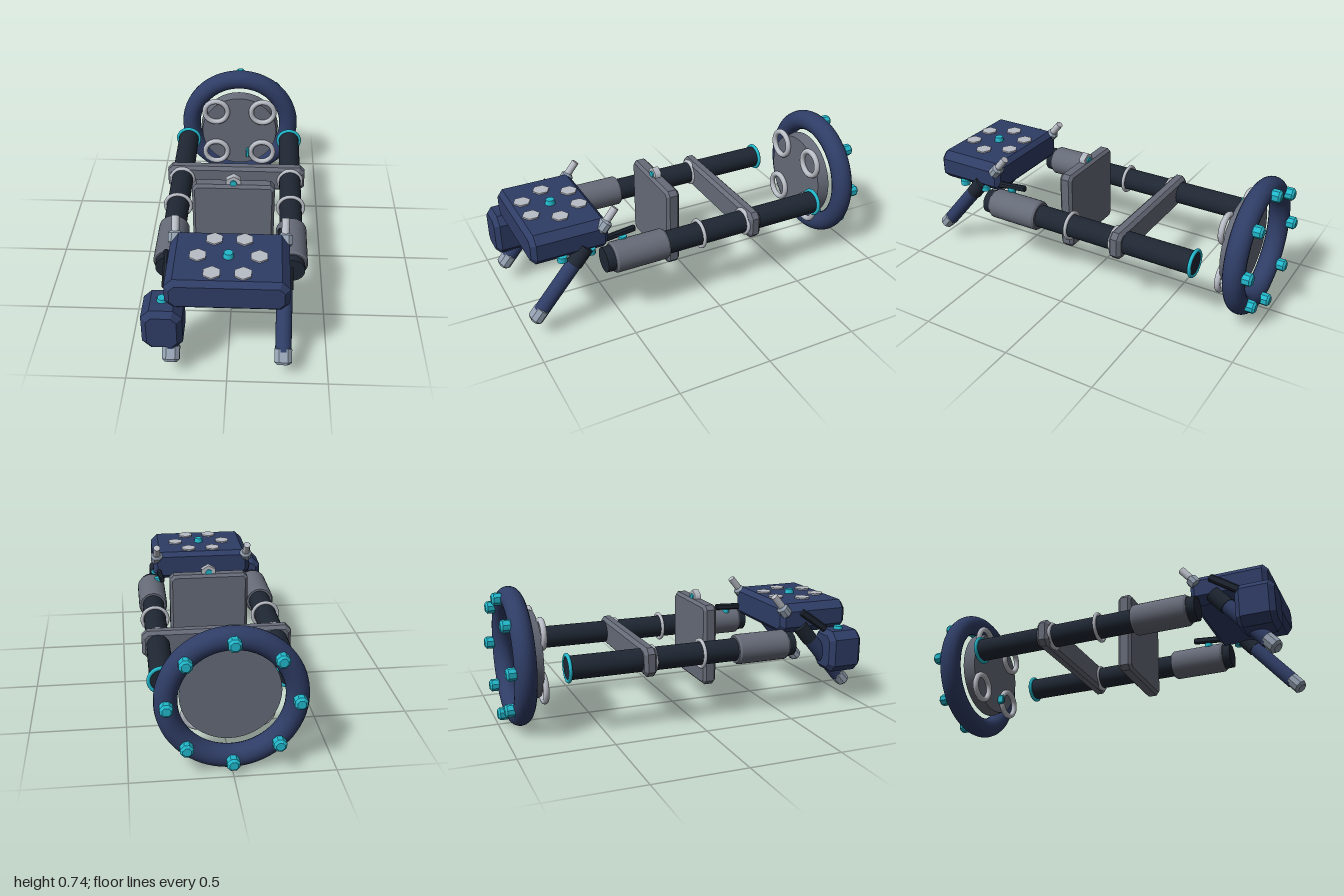
import * as THREE from 'three';

const paint = (color) => new THREE.MeshStandardMaterial({ color });

export function createModel() {
  const model = new THREE.Group();
  const navy = paint(0x2f3d66), dark = paint(0x1f2733), grey = paint(0x666b78);
  const pale = paint(0xb9bdc6), steel = paint(0x93a0b0), teal = paint(0x22b8cc);

  function add(name, geometry, material, x = 0, y = 0, z = 0) {
    const mesh = new THREE.Mesh(geometry, material);
    mesh.name = name;
    mesh.position.set(x, y, z);
    model.add(mesh);
    return mesh;
  }

  // Box with cut corners and chamfered front and back rims, centred on its origin
  function chamferBox(w, h, d, c) {
    const b = c * 0.6, x = w / 2 - b, y = h / 2 - b, k = c * 0.6;
    const outline = [
      [x - k, -y], [x, k - y], [x, y - k], [x - k, y],
      [k - x, y], [-x, y - k], [-x, k - y], [k - x, -y],
    ].map(([px, py]) => new THREE.Vector2(px, py));
    return new THREE.ExtrudeGeometry(new THREE.Shape(outline), {
      depth: d - 2 * b, bevelThickness: b, bevelSize: b, bevelSegments: 1,
    }).translate(0, 0, b - d / 2);
  }

  // Cylinder whose axis runs along z; r1 is the front radius
  const rod = (r1, r2, length, sides = 32) =>
    new THREE.CylinderGeometry(r1, r2, length, sides).rotateX(Math.PI / 2);

  // Aim the +z axis of a mesh along a direction
  const aim = (mesh, dir) =>
    mesh.quaternion.setFromUnitVectors(new THREE.Vector3(0, 0, 1), dir.clone().normalize());

  function strut(name, a, b, radius, material) {
    const from = new THREE.Vector3(...a), to = new THREE.Vector3(...b);
    const dir = to.clone().sub(from);
    const mid = from.clone().add(to).multiplyScalar(0.5);
    const mesh = add(name, rod(radius, radius, dir.length(), 24), material, mid.x, mid.y, mid.z);
    aim(mesh, dir);
    return mesh;
  }

  // Rear wheel with eight studs
  const axisY = 0.371;
  add('wheelRing', new THREE.TorusGeometry(0.313, 0.057, 20, 72), navy, 0, axisY, -0.9);
  for (let i = 0; i < 8; i++) {
    const a = (i * Math.PI) / 4;
    const stud = add('wheelStud', chamferBox(0.062, 0.062, 0.06, 0.018), teal,
      0.313 * Math.cos(a), axisY + 0.313 * Math.sin(a), -0.97);
    stud.rotation.z = a;
  }

  // Disc inside the wheel, carrying four rings and a small latch
  add('wheelDisc', rod(0.235, 0.247, 0.065, 64), grey, 0, axisY, -0.822);
  for (const sx of [-1, 1]) for (const sy of [-1, 1]) {
    add('discRing', new THREE.TorusGeometry(0.072, 0.016, 12, 36), pale,
      sx * 0.147, axisY + sy * 0.145, -0.78);
  }
  add('discLatch', chamferBox(0.02, 0.055, 0.04, 0.008), teal, 0.055, 0.222, -0.775);

  // Twin rails with sleeves and collars
  for (const side of [-1, 1]) {
    const x = side * 0.315;
    add('rail', rod(0.062, 0.062, 1.25), dark, x, axisY, -0.07);
    add('railCap', rod(0.066, 0.068, 0.06), dark, x, axisY, 0.555);
    add('railEndRing', new THREE.TorusGeometry(0.067, 0.01, 12, 40), teal, x, axisY, -0.69);
    add('sleeve', rod(0.082, 0.082, 0.28), grey, x, axisY, 0.39);
    for (const end of [-1, 1]) {
      add('sleeveRim', rod(end > 0 ? 0.074 : 0.082, end > 0 ? 0.082 : 0.074, 0.012), grey,
        x, axisY, 0.39 + end * 0.146);
    }
    add('collar', new THREE.TorusGeometry(0.072, 0.01, 12, 40), pale, x, axisY, 0.037);
    add('rearCollar', new THREE.TorusGeometry(0.064, 0.012, 12, 40), pale, x, axisY, -0.236);
  }

  // Bar and plate across the rails
  add('crossBar', chamferBox(0.8, 0.155, 0.072, 0.03), grey, 0, axisY, -0.268);
  add('plate', chamferBox(0.445, 0.45, 0.075, 0.025), grey, 0, 0.376, 0.138);
  add('plateBolt', rod(0.046, 0.046, 0.035, 6), pale, 0, 0.602, 0.14);
  add('plateBoltPin', rod(0.018, 0.018, 0.05, 16), teal, 0, 0.608, 0.14);

  // Front head with a circle of hexagonal pads around a button
  const headZ = 0.742;
  add('head', chamferBox(0.592, 0.168, 0.41, 0.042), navy, 0, 0.498, headZ);
  for (let i = 0; i < 6; i++) {
    const a = (i * Math.PI) / 3;
    add('headPad', new THREE.CylinderGeometry(0.046, 0.046, 0.02, 6), pale,
      0.148 * Math.cos(a), 0.58, headZ + 0.148 * Math.sin(a));
  }
  add('headButton', new THREE.CylinderGeometry(0.022, 0.028, 0.03, 20), teal, 0, 0.592, headZ);

  for (const side of [-1, 1]) {
    // Slanted pegs on the rear corners of the head
    const x = side * 0.275;
    const up = new THREE.Vector3(0, 0.11, -0.09);
    aim(add('pegBase', chamferBox(0.07, 0.06, 0.07, 0.02), steel, x, 0.548, 0.56), up);
    strut('peg', [x, 0.56, 0.555], [x, 0.635, 0.494], 0.02, pale);

    // Front legs
    strut('legJoint', [x, 0.455, 0.66], [x, 0.37, 0.73], 0.043, dark);
    strut('leg', [x, 0.42, 0.69], [x, 0.14, 0.925], 0.04, navy);
    const foot = add('foot', chamferBox(0.086, 0.07, 0.09, 0.022), steel, x, 0.127, 0.938);
    aim(foot, new THREE.Vector3(0, -0.28, 0.235));
  }

  // Side pod hung from a slanted link on the model's right
  add('sidePod', chamferBox(0.198, 0.235, 0.2, 0.044), navy, -0.309, 0.309, 0.895);
  add('sidePodButton', new THREE.CylinderGeometry(0.022, 0.03, 0.03, 20), teal, -0.31, 0.428, 0.89);
  const link = add('podLink', chamferBox(0.026, 0.04, 0.19, 0.008), dark, -0.308, 0.485, 0.73);
  aim(link, new THREE.Vector3(0, -0.1, 0.14));

  // Link bar with teal bolts on the model's left
  const bar = add('linkBar', chamferBox(0.026, 0.035, 0.34, 0.008), dark, 0.264, 0.462, 0.55);
  aim(bar, new THREE.Vector3(0.025, -0.02, 0.34));
  add('linkBolt', new THREE.CylinderGeometry(0.022, 0.022, 0.03, 16), teal, 0.274, 0.443, 0.46);
  add('linkBolt', new THREE.CylinderGeometry(0.026, 0.026, 0.03, 16), teal, 0.28, 0.425, 0.64);
  add('linkBolt', new THREE.CylinderGeometry(0.026, 0.026, 0.03, 16), teal, 0.275, 0.42, 0.79);

  return model;
}
